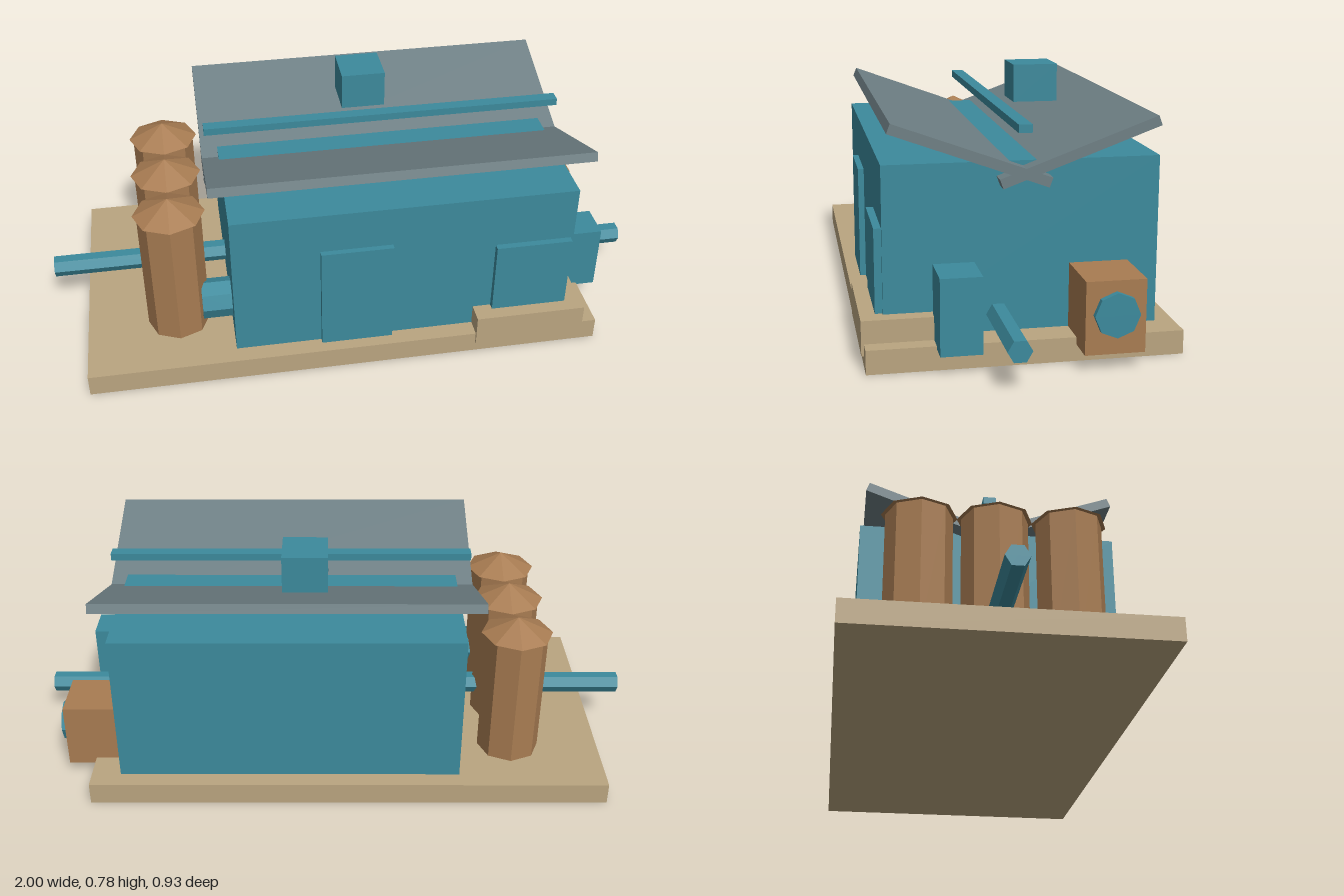
import * as THREE from 'three';

const mat = (color) => new THREE.MeshStandardMaterial({ color, flatShading: true });

export function createModel() {
  const group = new THREE.Group();
  const teal = mat(0x3c8a9c), tan = mat(0xbaa580), brown = mat(0xa87c52), slate = mat(0x6e7f84);

  const add = (name, geometry, material, x, y, z) => {
    const mesh = new THREE.Mesh(geometry, material);
    mesh.name = name;
    mesh.position.set(x, y, z);
    group.add(mesh);
    return mesh;
  };
  // Box given by its extents along each axis
  const box = (name, material, [x0, x1], [y0, y1], [z0, z1]) =>
    add(name, new THREE.BoxGeometry(x1 - x0, y1 - y0, z1 - z0), material,
      (x0 + x1) / 2, (y0 + y1) / 2, (z0 + z1) / 2);
  // Prism lying along x
  const pipe = (name, [x0, x1], y, z, radius, sides) =>
    add(name, new THREE.CylinderGeometry(radius, radius, x1 - x0, sides).rotateZ(Math.PI / 2),
      teal, (x0 + x1) / 2, y, z);

  // Ground slab and main building
  box('base', tan, [-0.895, 0.79], [0, 0.072], [-0.465, 0.46]);
  box('building', teal, [-0.415, 0.695], [0.072, 0.575], [-0.408, 0.401]);

  // Two roof panels crossing in a valley
  for (const side of [1, -1]) {
    const panel = add(side > 0 ? 'frontRoof' : 'backRoof',
      new THREE.BoxGeometry(1.215, 0.03, 0.487), slate, 0.1375, 0.602, -0.0035 + side * 0.1575);
    panel.rotation.x = -side * 0.351;
  }
  box('ridgeBar', teal, [-0.457, 0.733], [0.66, 0.684], [-0.022, 0.018]);
  box('roofVent', teal, [0.015, 0.16], [0.656, 0.778], [-0.233, -0.088]);

  // Front doors and step
  box('mainDoor', teal, [-0.135, 0.098], [0.072, 0.437], [0.39, 0.42]);
  box('loadingDoor', teal, [0.435, 0.685], [0.072, 0.392], [0.39, 0.423]);
  box('loadingStep', tan, [0.375, 0.74], [0.037, 0.141], [0.23, 0.468]);

  // Fittings on the left end
  box('controlCabinet', teal, [0.715, 0.855], [0.064, 0.289], [0.14, 0.26]);
  box('fanHousing', brown, [0.68, 0.882], [0.051, 0.266], [-0.318, -0.143]);
  pipe('fan', [0.86, 0.9], 0.169, -0.231, 0.066, 8);
  pipe('outletPipe', [0.68, 1], 0.123, 0.067, 0.035, 6);

  // Fittings on the right end
  pipe('inletPipe', [-1, -0.4], 0.17, -0.006, 0.035, 6);
  pipe('sideFan', [-0.512, -0.4], 0.172, 0.25, 0.066, 8);

  // Row of silos with pointed caps
  for (const z of [-0.235, -0.007, 0.22]) {
    add('silo', new THREE.CylinderGeometry(0.102, 0.102, 0.442, 8), brown, -0.593, 0.291, z);
    add('siloCap', new THREE.ConeGeometry(0.115, 0.055, 8), brown, -0.593, 0.5395, z);
  }
  return group;
}
